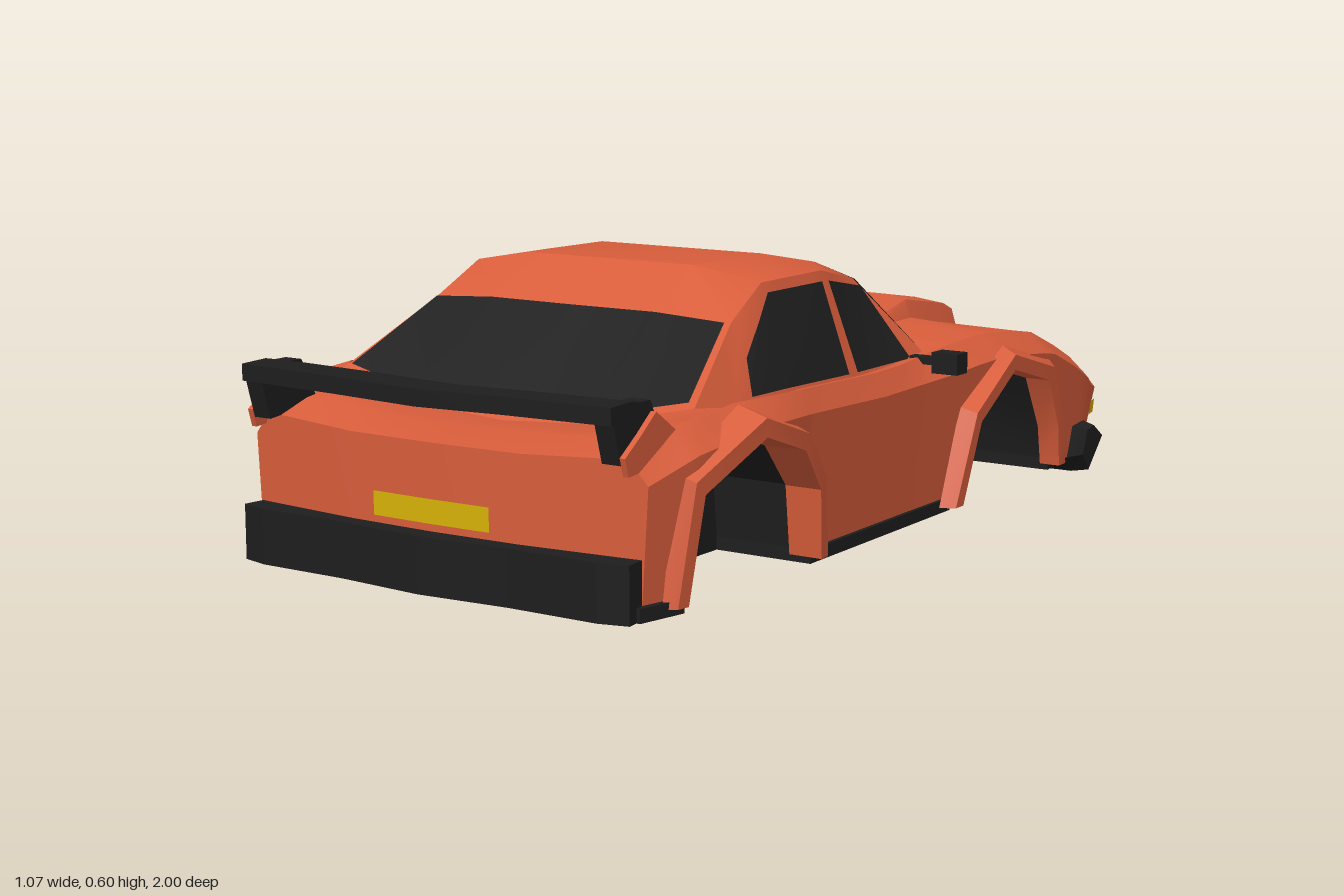
import * as THREE from 'three';
import { toCreasedNormals } from 'three/addons/utils/BufferGeometryUtils.js';

const mat = (name, color) => new THREE.MeshStandardMaterial({ name, color, side: THREE.DoubleSide });
const paint = mat('orange paint', 0xd85d3b);
const black = mat('black trim', 0x1e1e1e);
const glass = mat('dark glass', 0x1f1f1f);
const grey = mat('lamp grey', 0xd8d8d8);
const yellow = mat('plate yellow', 0xd6b208);
const amber = mat('amber lamp', 0xe4b010);

// Piecewise linear curve through [z, value] keys
const curve = keys => z => {
  if (z <= keys[0][0]) return keys[0][1];
  for (let i = 1; i < keys.length; i++) {
    const [a, va] = keys[i - 1], [b, vb] = keys[i];
    if (z <= b) return va + (vb - va) * (z - a) / (b - a);
  }
  return keys[keys.length - 1][1];
};
const mix = (a, b, t) => a.map((v, i) => v + (b[i] - v) * t);
const shift = (p, x, y, z) => [p[0] + x, p[1] + y, p[2] + z];

// Nose and tail are bowed in plan
const bow = (x, y, z) => {
  const nose = Math.max(0, (-0.8 - z) / 0.2), tail = Math.max(0, (z - 0.8) / 0.15);
  return [x, y, z + 0.16 * nose * x * x - 0.15 * tail * x * x];
};

// Wheel arch outlines [z, y] and how far each flare reaches out along z
const arches = {
  front: [[-0.69, 0.05], [-0.675, 0.14], [-0.61, 0.26], [-0.42, 0.31], [-0.26, 0.22], [-0.19, 0.05]],
  rear: [[0.39, 0.05], [0.405, 0.19], [0.48, 0.28], [0.63, 0.33], [0.8, 0.25], [0.835, 0.05]],
};
const reach = {
  front: curve([[-0.72, 0.488], [-0.2, 0.512]]),
  rear: curve([[0.35, 0.51], [0.55, 0.533], [0.67, 0.533], [0.86, 0.505]]),
};

// Body curves along z
const yMid = curve([[-1, 0.225], [-0.9, 0.28], [-0.66, 0.36], [-0.48, 0.395], [-0.29, 0.382], [-0.1, 0.32], [0.6, 0.305], [0.73, 0.323], [0.83, 0.33], [0.95, 0.315]]);
const yEdge = curve([[-1, 0.22], [-0.9, 0.27], [-0.66, 0.36], [-0.4, 0.385], [-0.2, 0.375], [0.1, 0.37], [0.6, 0.385], [0.8, 0.365], [0.95, 0.325]]);
const xEdge = curve([[-1, 0.4], [-0.6, 0.41], [-0.2, 0.42], [0, 0.45], [0.4, 0.46], [0.8, 0.45], [0.95, 0.43]]);
const xSide = curve([[-1, 0.43], [-0.9, 0.455], [-0.6, 0.475], [0, 0.478], [0.4, 0.485], [0.6, 0.505], [0.8, 0.498], [0.95, 0.468]]);
const yLow = curve([[-1, 0.185], [-0.94, 0.13], [-0.85, 0.05], ...arches.front, ...arches.rear, [0.95, 0.05]]);
const ySide = z => Math.max(yEdge(z) - 0.045, yLow(z) + 0.004);
const sideX = (z, y) => xSide(z) - 0.015 * (ySide(z) - y) / 0.25;
const topY = (x, z) => yMid(z) + (yEdge(z) - yMid(z)) * Math.max(0, (x - 0.2) / (xEdge(z) - 0.2));
const stations = [...new Set([-1, -0.94, -0.9, -0.85, -0.8, ...arches.front.map(p => p[0]), -0.48, -0.29, -0.1, 0, 0.1,
  ...arches.rear.map(p => p[0]), 0.6, 0.73, 0.95])].sort((a, b) => a - b);

export function createModel() {
  const car = new THREE.Group();
  car.name = 'carBody';
  const add = (name, geo, material) => {
    const mesh = new THREE.Mesh(geo, material);
    mesh.name = name;
    car.add(mesh);
  };

  // Skin over rows of points, mirrored to the other side
  const surf = (name, material, rows) => {
    const pos = [];
    const fill = g => {
      for (let r = 0; r + 1 < g.length; r++) for (let c = 0; c + 1 < g[r].length; c++) {
        const a = g[r][c], b = g[r][c + 1], d = g[r + 1][c], e = g[r + 1][c + 1];
        pos.push(...a, ...d, ...e, ...a, ...e, ...b);
      }
    };
    fill(rows);
    fill(rows.map(r => r.map(([x, y, z]) => [-x, y, z]).reverse()));
    const geo = new THREE.BufferGeometry();
    geo.setAttribute('position', new THREE.Float32BufferAttribute(pos, 3));
    add(name, toCreasedNormals(geo, 0.5), material);
  };
  // Plan outline of the +x half, extruded down from a height
  const slab = (name, material, half, top, depth) => {
    const pts = [...half, ...half.map(([x, z]) => [-x, z]).reverse()].map(p => new THREE.Vector2(...p));
    const geo = new THREE.ExtrudeGeometry(new THREE.Shape(pts), { depth, bevelEnabled: false });
    add(name, geo.rotateX(Math.PI / 2).translate(0, top, 0), material);
  };
  // Side outline [z, y], extruded across x on both sides
  const sidePlate = (name, material, pts, x0, width) => {
    for (const x of [x0, -x0 - width]) {
      const shape = new THREE.Shape(pts.map(([z, y]) => new THREE.Vector2(-z, y)));
      const geo = new THREE.ExtrudeGeometry(shape, { depth: width, bevelEnabled: false });
      add(name, geo.rotateY(Math.PI / 2).translate(x, 0, 0), material);
    }
  };

  // Lower body shell, nose underside, front lip and tail panel
  const section = z => [[0, yMid(z)], [0.2, yMid(z)], [xEdge(z), yEdge(z)], [xSide(z), ySide(z)], [sideX(z, yLow(z)), yLow(z)]]
    .map(([x, y]) => bow(x, y, z));
  const under = z => [0, 0.2, xEdge(z), sideX(z, yLow(z))].map(x => bow(x, yLow(z), z));
  surf('bodyShell', paint, stations.map(section));
  surf('noseUnderside', paint, [-0.85, -0.94, -1].map(under));
  surf('noseLip', paint, [under(-1), section(-1).slice(0, 4)].reverse());
  surf('tailPanel', paint, [section(0.95).slice(0, 4), under(0.95)]);

  // Cabin: rows from windscreen base over the roof to rear window base
  const roof = [
    [[0, 0.385, -0.29], [0.2, 0.385, -0.29], [0.4, 0.375, -0.18]],
    [[0, 0.56, -0.13], [0.17, 0.555, -0.12], [0.3, 0.535, -0.06]],
    [[0, 0.6, 0.14], [0.2, 0.6, 0.14], [0.345, 0.575, 0.14]],
    [[0, 0.6, 0.38], [0.2, 0.6, 0.38], [0.35, 0.575, 0.37]],
    [[0, 0.525, 0.5], [0.2, 0.525, 0.5], [0.36, 0.512, 0.49]],
    [[0, 0.325, 0.74], [0.2, 0.337, 0.735], [0.425, 0.385, 0.71]],
  ];
  const belt = [roof[0][2], [0.412, 0.35, -0.13], [0.427, 0.352, 0.14], [0.434, 0.36, 0.42], [0.438, 0.368, 0.57], roof[5][2]];
  const onSide = (i, u, v) => mix(mix(roof[i][2], roof[i + 1][2], u), mix(belt[i], belt[i + 1], u), v);
  surf('roof', paint, roof);
  const cabinRows = [0, 1, 2, 3, 4].flatMap(i => [0, 0.25, 0.5, 0.75].map(u => [i, u]));
  surf('cabinSides', paint, [...cabinRows, [4, 1]].map(([i, u]) => [0, 0.5, 1].map(v => onSide(i, u, v))));

  // Windscreen and rear window
  const screen = (name, a, b, ts, edge, dz) => surf(name, glass, ts.map(t => {
    const [p, q, s] = [0, 1, 2].map(i => mix(roof[a][i], roof[b][i], t));
    return [p, q, mix(q, s, edge)].map(v => shift(v, 0, 0.005, dz));
  }));
  screen('windscreen', 0, 1, [0.05, 0.94], 0.92, -0.004);
  screen('rearWindow', 4, 5, [0.04, 0.95], 0.94, 0.004);

  // Side windows, split by a pillar
  const pane = (name, cols) => surf(name, glass, cols.map(([i, u, top = 0.1]) =>
    [top, 0.5, 0.92].map(v => shift(onSide(i, u, v), 0.006, 0.003, 0))));
  pane('frontSideWindow', [[1, 0.03], [1, 0.25], [1, 0.5], [1, 0.75], [1, 0.95]]);
  pane('rearSideWindow', [[2, 0.08], [2, 0.5], [2, 0.97], [3, 0.3, 0.25], [3, 0.8, 0.8]]);

  // Bonnet bulge with a black intake
  const bulge = [[-0.68, 0.4, 0.2], [-0.64, 0.417, 0.2], [-0.48, 0.443, 0.19], [-0.28, 0.392, 0.175]];
  surf('bonnetBulge', paint, bulge.map(([z, y, w]) => [[0, y, z - 0.012], [w * 0.6, y, z - 0.008], [w, y - 0.008, z], [w + 0.015, yMid(z) - 0.01, z]]));
  surf('bonnetIntake', black, [[[0, 0.345, -0.7], [0.2, 0.345, -0.69]], [[0, 0.399, -0.692], [0.2, 0.391, -0.681]]]);

  // Raised lamp covers on the bonnet
  surf('lampCover', paint, [[-0.9, 0.235, 0.345], [-0.73, 0.22, 0.34]]
    .map(([z, ...xs]) => xs.map(x => shift(bow(x, topY(x, z), z), 0, z < -0.8 ? 0.011 : 0.008, 0))));

  // Front lamps and indicators
  surf('frontLamp', grey, [-0.935, -0.94, -0.994].map(z => [0.2, 0.405].map(x => shift(bow(x, yLow(z), z), 0, -0.004, -0.006))));
  surf('frontIndicator', amber, [[0.168, -0.955], [0.138, -0.945]]
    .map(([y, z]) => [z + 0.048, z].map(k => shift(bow(sideX(k, y), y, k), 0.009, 0, 0))));

  // Number plate and tail lamp covers
  const tailPlate = (name, m, x0, x1, y0, y1) => surf(name, m, [y1, y0].map(y => [x0, x1].map(x => bow(x, y, 0.957))));
  tailPlate('numberPlate', yellow, 0, 0.138, 0.163, 0.21);
  tailPlate('tailLampCover', paint, 0.34, 0.425, 0.187, 0.222);

  // Flared arches and dark wheel wells
  for (const end of ['front', 'rear']) {
    const arch = arches[end], mid = (arch[0][0] + arch[5][0]) / 2;
    const ring = (s, x) => arch.map(([z, y]) => {
      const h = 0.05 + (y - 0.05) * s, zs = mid + (z - mid) * s;
      return [x ?? reach[end](zs) - 0.04 * Math.max(0, 0.33 - h), h, zs];
    });
    surf(end + 'ArchFlare', paint, [ring(1, 0.43), ring(1), ring(1.13), ring(1.2, 0.47)]);
    surf(end + 'WheelWell', black, [ring(1.01, 0.46), ring(1.01, 0.26), ring(1.01, 0.26).map(p => [p[0], 0.045, p[2]])]);
  }

  // Floor with wheel cut-outs, and rear bumper
  slab('floor', black, [[0.42, -0.85], [0.45, -0.69], [0.26, -0.69], [0.26, -0.19], [0.468, -0.19], [0.478, 0.39],
    [0.26, 0.39], [0.26, 0.835], [0.488, 0.835], [0.465, 0.94]], 0.064, 0.027);
  slab('rearBumper', black, [[0.455, 0.92], [0.46, 0.965], [0.4, 0.98], [0.2, 0.98], [0, 0.995]], 0.147, 0.11);

  // Front bumper, swept back at the corners
  const bumper = [[0, 0, 0], [0.42, 0, 0], [0.5, 0.075, 0.025]].map(([x, dz, dy]) =>
    [[-0.82, 0.12], [-0.9, 0.125], [-0.945, 0.095], [-0.875, 0], [-0.8, 0.04], [-0.82, 0.12]]
      .map(([z, y]) => [x, y + (y < 0.05 ? dy : 0), z + (z < -0.85 ? dz : dz * 0.4)]));
  surf('frontBumper', black, [...bumper, bumper[2].map(() => [0.5, 0.08, -0.82])]);

  // Rear wing, its posts and the upswept corners of the tail
  const wing = [[0, 0.01, -0.006], [0.2, 0.006, -0.002], [0.42, 0, 0], [0.437, 0, 0]].map(([x, dz, dy]) =>
    [[0.865, 0.395], [0.86, 0.418], [0.92, 0.43], [0.985, 0.428], [0.985, 0.395], [0.865, 0.395]].map(([z, y]) => [x, y + dy, z + dz]));
  surf('rearWing', black, [...wing, wing[3].map(() => [0.437, 0.41, 0.92])]);
  sidePlate('wingPost', black, [[0.82, 0.335], [0.865, 0.425], [0.985, 0.425], [0.955, 0.32]], 0.395, 0.041);
  sidePlate('tailFin', paint, [[0.8, 0.36], [0.865, 0.405], [0.91, 0.37], [0.96, 0.335], [0.95, 0.3], [0.84, 0.31]], 0.437, 0.012);

  // Door mirrors
  for (const s of [1, -1]) {
    add('doorMirror', new THREE.BoxGeometry(0.06, 0.044, 0.045).translate(s * 0.5, 0.366, -0.12), black);
    add('mirrorArm', new THREE.BoxGeometry(0.07, 0.016, 0.025).translate(s * 0.45, 0.368, -0.115), black);
  }
  return car;
}
